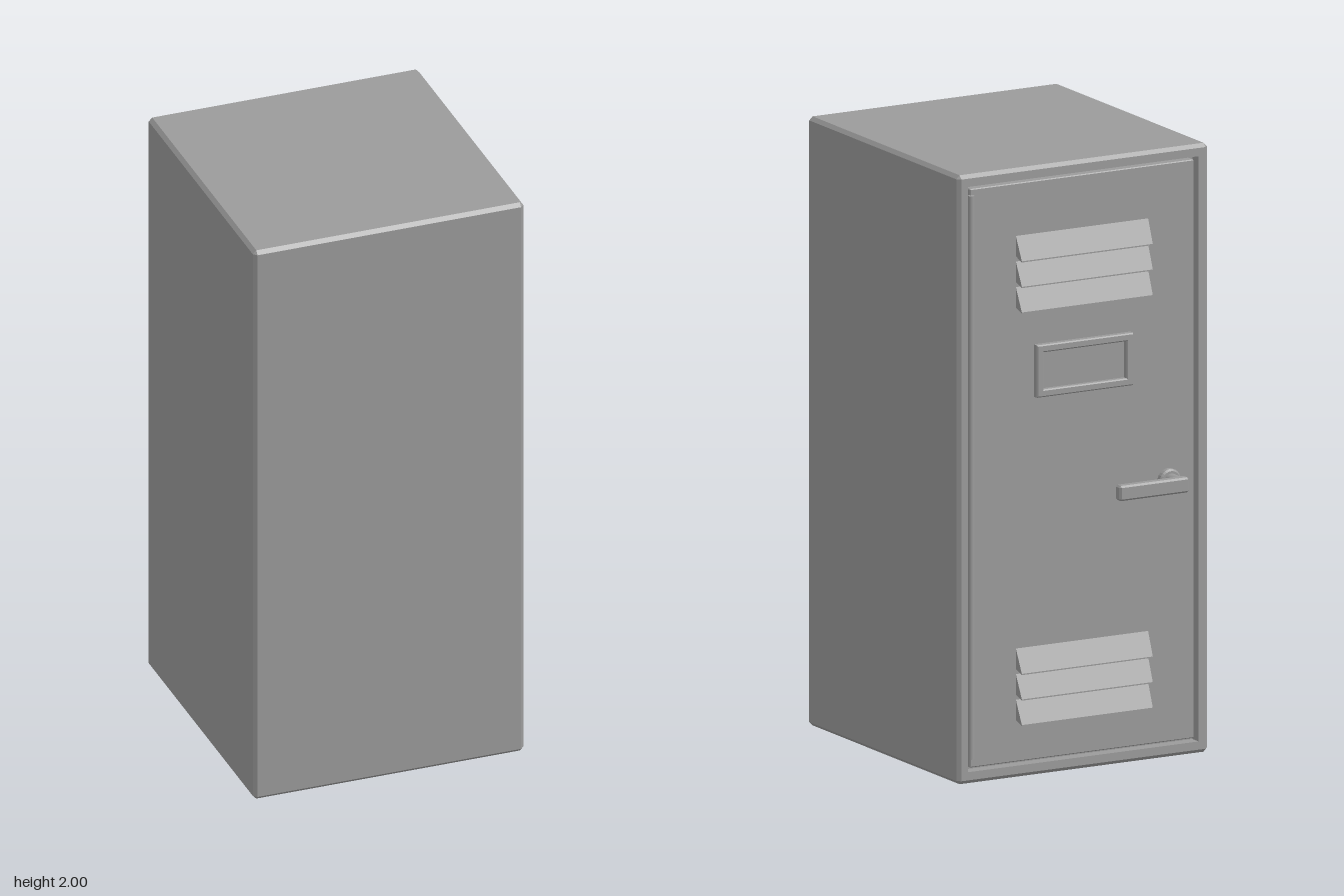
import * as THREE from 'three';

const material = new THREE.MeshStandardMaterial({ color: 0x9b9b9b });
const flatMaterial = new THREE.MeshStandardMaterial({ color: 0x9b9b9b, flatShading: true });

// Skin over rectangular rings [halfWidth, halfHeight, cornerCut, z], walked from back to front
function ringLoft(rings) {
  const points = rings.map(([w, h, c, z]) => [
    [w, -h + c], [w, h - c], [w - c, h], [-w + c, h],
    [-w, h - c], [-w, -h + c], [-w + c, -h], [w - c, -h],
  ].map(([x, y]) => [x, y, z]));
  const position = [];
  for (let r = 0; r < points.length - 1; r++) {
    const a = points[r], b = points[r + 1];
    for (let i = 0; i < 8; i++) {
      const j = (i + 1) % 8;
      position.push(...a[i], ...a[j], ...b[j], ...a[i], ...b[j], ...b[i]);
    }
  }
  const geometry = new THREE.BufferGeometry();
  geometry.setAttribute('position', new THREE.Float32BufferAttribute(position, 3));
  geometry.computeVertexNormals();
  return geometry;
}

// Box with all edges chamfered by b
function chamferBox(w, h, z0, z1, b) {
  return ringLoft([
    [0, 0, 0, z0], [w - b, h - b, 0, z0], [w, h, b, z0 + b],
    [w, h, b, z1 - b], [w - b, h - b, 0, z1], [0, 0, 0, z1],
  ]);
}

// Wedge-shaped vent slat with an undercut lip, slightly narrower at its outer edge
function louverGeometry(width) {
  const profile = new THREE.Shape([
    new THREE.Vector2(0.425, 0.014), new THREE.Vector2(0.465, -0.002),
    new THREE.Vector2(0.465, 0.002), new THREE.Vector2(0.43, 0.081), new THREE.Vector2(0.425, 0.081),
  ]);
  const geometry = new THREE.ExtrudeGeometry(profile, { depth: width, bevelEnabled: false });
  geometry.translate(0, 0, -width / 2).rotateY(-Math.PI / 2);
  const p = geometry.attributes.position;
  for (let i = 0; i < p.count; i++) if (p.getZ(i) > 0.45) p.setX(i, p.getX(i) * 0.99);
  geometry.computeVertexNormals();
  return geometry;
}

export function createModel() {
  const group = new THREE.Group();
  group.name = 'locker';
  // Built with the door towards +z, then turned so the door faces the back
  const locker = new THREE.Group();
  locker.name = 'lockerAssembly';
  locker.rotation.y = Math.PI;
  group.add(locker);

  const add = (name, geometry, x, y, z = 0, mat = material, parent = locker) => {
    const mesh = new THREE.Mesh(geometry, mat);
    mesh.name = name;
    mesh.position.set(x, y, z);
    parent.add(mesh);
    return mesh;
  };

  // Cabinet: chamfered shell with a shallow door opening
  const W = 0.462, H = 1, B = 0.012;
  add('cabinet', ringLoft([
    [0, 0, 0, -0.524], [W - B, H - B, 0, -0.524], [W, H, B, -0.524 + B],
    [W, H, B, 0.44 - B], [W - B, H - B, 0, 0.44],
    [0.425, 0.961, 0, 0.44], [0.425, 0.961, 0, 0.40], [0, 0, 0, 0.40],
  ]), 0, 1);

  // Door and its long hinge pin
  add('door', chamferBox(0.413, 0.95, 0.395, 0.431, 0.003), 0, 1);
  add('hinge', new THREE.CylinderGeometry(0.011, 0.011, 1.85, 16), -0.412, 1.005, 0.436);

  // Vent slats, three above and three below
  const louver = louverGeometry(0.488);
  for (const [name, bottom] of [['upperVent', 1.53], ['lowerVent', 0.175]]) {
    const vent = new THREE.Group();
    vent.name = name;
    locker.add(vent);
    for (let i = 0; i < 3; i++) add('ventSlat', louver, 0, bottom + i * 0.084, 0, flatMaterial, vent);
  }

  // Card holder: raised rim around a sunken plate
  add('cardHolder', ringLoft([
    [0.178, 0.086, 0, 0.425], [0.178, 0.086, 0, 0.45], [0.174, 0.082, 0, 0.454],
    [0.157, 0.065, 0, 0.454], [0.153, 0.061, 0, 0.45], [0.153, 0.061, 0, 0.434], [0, 0, 0, 0.434],
  ]), 0, 1.327);

  // Handle: round base plate, shaft and sideways lever
  const handle = new THREE.Group();
  handle.name = 'handle';
  handle.position.set(0.317, 0.909, 0);
  locker.add(handle);
  const base = new THREE.LatheGeometry(
    [[0.039, 0], [0.039, 0.016], [0.033, 0.022], [0, 0.022]].map(([x, y]) => new THREE.Vector2(x, y)), 24);
  base.rotateX(Math.PI / 2);
  add('handleBase', base, 0, 0, 0.43, flatMaterial, handle);
  const shaft = new THREE.CylinderGeometry(0.025, 0.025, 0.075, 24).rotateX(Math.PI / 2);
  add('handleShaft', shaft, 0, 0, 0.47, material, handle);
  add('handleLever', chamferBox(0.128, 0.025, 0.493, 0.526, 0.006), -0.103, 0, 0, material, handle);

  return group;
}
